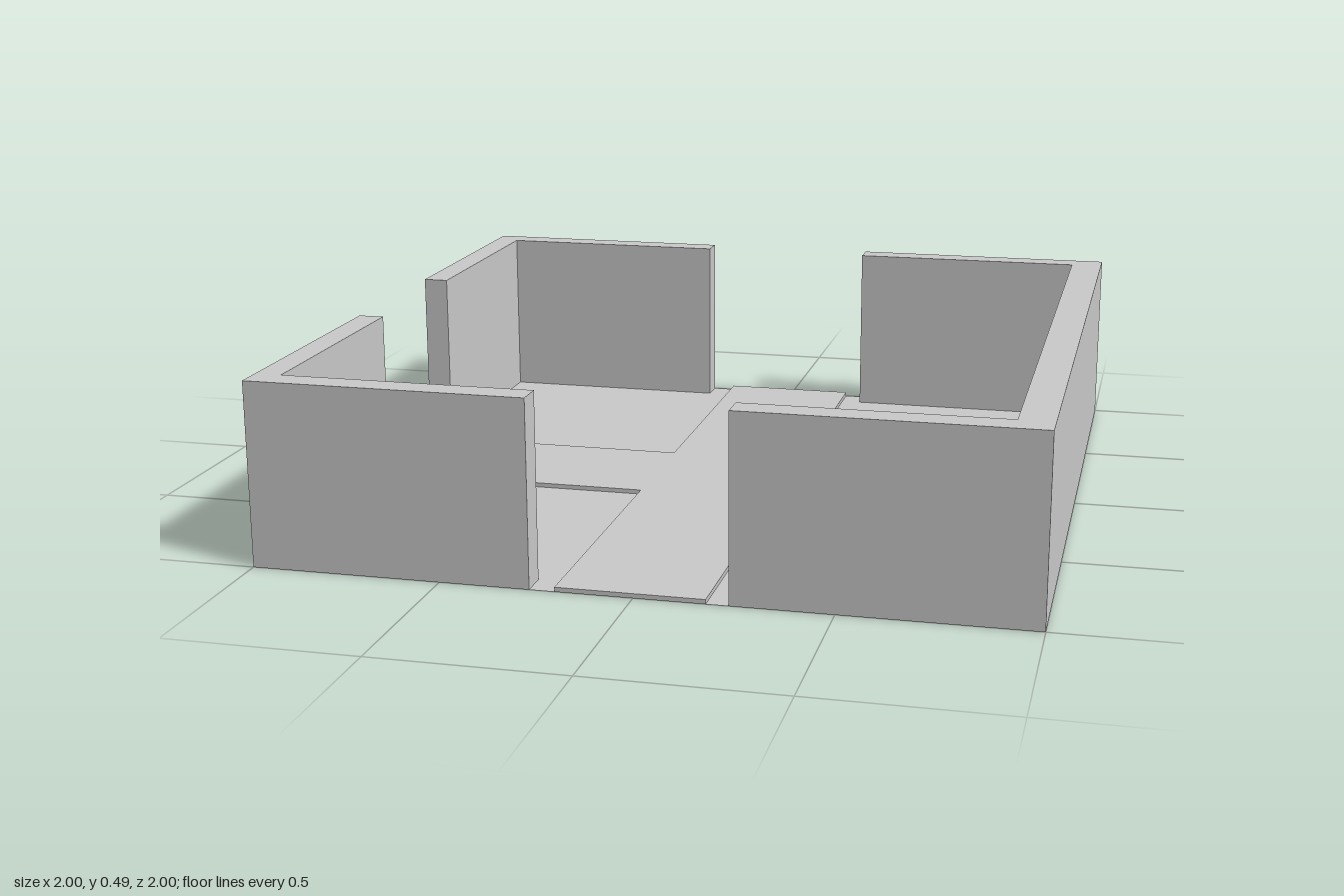
import * as THREE from 'three';
import { mergeGeometries } from 'three/addons/utils/BufferGeometryUtils.js';

const material = new THREE.MeshStandardMaterial({ color: 0xcccccc, flatShading: true, side: THREE.DoubleSide });

// Plan dimensions
const WALL_H = 0.49, PATH_H = 0.012;
const inner = { left: -0.93, right: 0.91, back: -0.93, front: 0.925 };
const gap = { left: -0.265, right: 0.24, back: -0.26, front: 0.25 };
const path = { left: -0.2, right: 0.183, half: 0.19 };

// Open-bottomed slab: a lid at the given height with sides down to the ground.
// The plan outline is a list of [x, z] corners.
function slab(name, outline, height) {
  let pts = outline.map(([x, z]) => new THREE.Vector2(x, -z));
  if (THREE.ShapeUtils.isClockWise(pts)) pts = pts.reverse();
  const lid = new THREE.ShapeGeometry(new THREE.Shape(pts)).toNonIndexed();
  lid.rotateX(-Math.PI / 2).translate(0, height, 0).deleteAttribute('uv');
  const parts = [lid];
  if (height > 0) {
    const pos = [];
    pts.forEach((a, i) => {
      const b = pts[(i + 1) % pts.length];
      const a0 = [a.x, 0, -a.y], b0 = [b.x, 0, -b.y];
      const a1 = [a.x, height, -a.y], b1 = [b.x, height, -b.y];
      pos.push(...a0, ...b0, ...b1, ...a0, ...b1, ...a1);
    });
    const sides = new THREE.BufferGeometry();
    sides.setAttribute('position', new THREE.Float32BufferAttribute(pos, 3));
    sides.computeVertexNormals();
    parts.push(sides);
  }
  const mesh = new THREE.Mesh(mergeGeometries(parts), material);
  mesh.name = name;
  return mesh;
}

export function createModel() {
  const group = new THREE.Group();
  group.name = 'walledCourt';

  // C-shaped wall along the closed side
  group.add(slab('leftWall', [
    [gap.right, -1], [1, -1], [1, 1], [gap.right, 1],
    [gap.right, inner.front], [inner.right, inner.front],
    [inner.right, inner.back], [gap.right, inner.back],
  ], WALL_H));

  // L-shaped corner walls and the floors they enclose
  for (const [side, s] of [['back', -1], ['front', 1]]) {
    const zi = inner[side], zg = gap[side], zp = s * path.half;
    group.add(slab(side + 'CornerWall', [
      [-1, zg], [-1, s], [gap.left, s], [gap.left, zi], [inner.left, zi], [inner.left, zg],
    ], WALL_H));
    group.add(slab(side + 'CornerFloor', [
      [path.left, s], [gap.left, s], [gap.left, zi], [inner.left, zi],
      [inner.left, zg], [-1, zg], [-1, zp], [path.left, zp],
    ], 0));
  }

  // Floor inside the C-shaped wall
  group.add(slab('leftFloor', [
    [path.right, -1], [gap.right, -1], [gap.right, inner.back], [inner.right, inner.back],
    [inner.right, inner.front], [gap.right, inner.front], [gap.right, 1], [path.right, 1],
  ], 0));

  // Slightly raised T-shaped path through the three openings
  group.add(slab('path', [
    [path.left, -1], [path.right, -1], [path.right, 1], [path.left, 1],
    [path.left, path.half], [-1, path.half], [-1, -path.half], [path.left, -path.half],
  ], PATH_H));

  return group;
}
